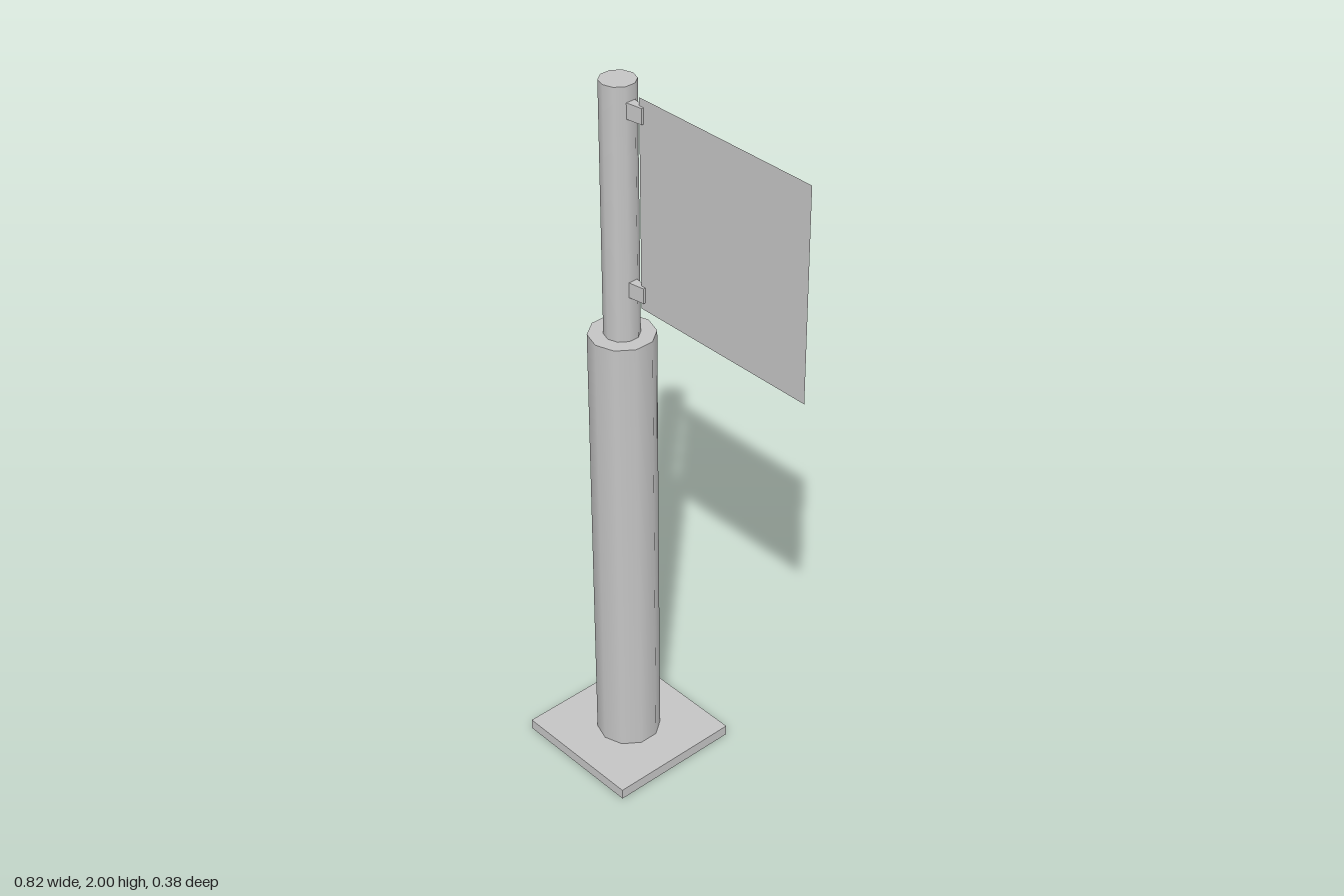
import * as THREE from 'three';

export function createModel() {
  const model = new THREE.Group();
  const grey = new THREE.MeshStandardMaterial({ color: 0xc4c4c4, side: THREE.DoubleSide });
  grey.name = 'grey';
  const poleX = -0.222;

  const add = (name, geometry, x, y, z = 0) => {
    const mesh = new THREE.Mesh(geometry, grey);
    mesh.name = name;
    mesh.position.set(x, y, z);
    model.add(mesh);
    return mesh;
  };

  // Base plate: a shallow box left open underneath
  const base = new THREE.BoxGeometry(0.382, 0.03, 0.382);
  const index = Array.from(base.index.array);
  index.splice(18, 6); // bottom face
  base.setIndex(index);
  base.clearGroups();
  add('basePlate', base, poleX, 0.015);

  // Ten-sided shafts; each open tube gets a separate top cap
  const shaft = (name, radius, bottom, top) => {
    add(name, new THREE.CylinderGeometry(radius, radius, top - bottom, 10, 1, true), poleX, (top + bottom) / 2);
    const cap = new THREE.CircleGeometry(radius, 10, Math.PI / 2);
    cap.rotateX(-Math.PI / 2);
    add(name + 'Cap', cap, poleX, top);
  };
  shaft('lowerPole', 0.087, 0.018, 1.312);
  shaft('upperPole', 0.0465, 1.312, 2);

  // Brackets, tapering towards the panel
  for (const [name, y] of [['upperBracket', 1.938], ['lowerBracket', 1.458]]) {
    const bracket = new THREE.BoxGeometry(0.05, 0.042, 0.028);
    const p = bracket.attributes.position;
    for (let i = 0; i < p.count; i++) if (p.getX(i) > 0) p.setZ(i, p.getZ(i) * 0.45);
    bracket.computeVertexNormals();
    add(name, bracket, -0.158, y);
  }

  // Flat sign panel
  add('signPanel', new THREE.PlaneGeometry(0.558, 0.565), 0.131, 1.6975);

  return model;
}
